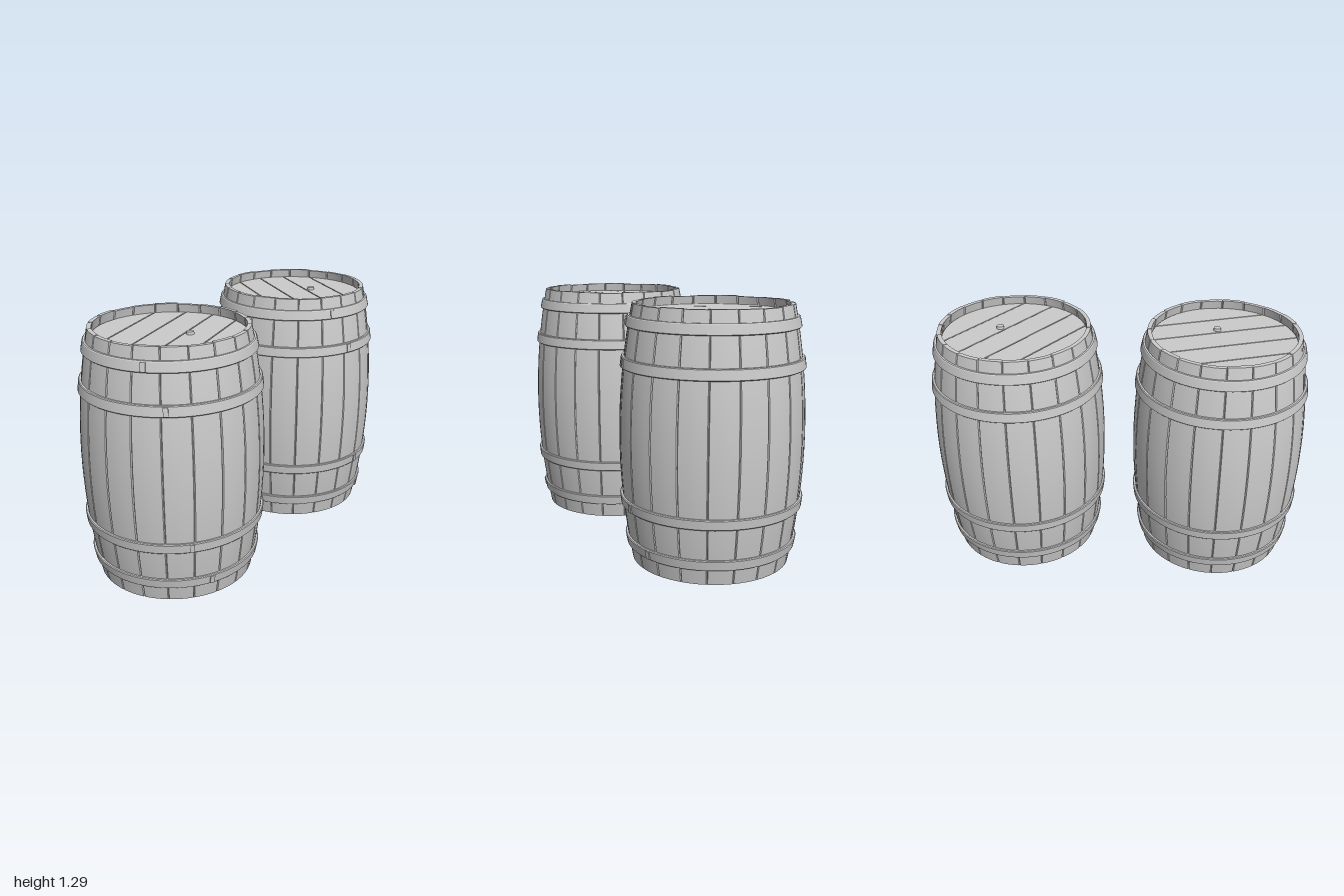
import * as THREE from 'three';
import { toCreasedNormals } from 'three/addons/utils/BufferGeometryUtils.js';

const HEIGHT = 1.29, STAVES = 20, WALL = 0.022, LID_Y = 1.245, LID_R = 0.375;
const mat = new THREE.MeshStandardMaterial({ color: 0xcccccc });

// Outer radius of the bulging wall at height y
const bulge = (y) => 0.46 - 0.065 * ((y - 0.64) / 0.645) ** 2;

function part(name, geometry, parent) {
  const mesh = new THREE.Mesh(geometry, mat);
  mesh.name = name;
  parent.add(mesh);
  return mesh;
}

// One curved stave: a chamfered cross-section swept from bottom to top
function staveGeometry() {
  const arc = (Math.PI * 2) / STAVES, rows = 18;
  const outer = [[-0.5, -0.006], [-0.47, 0], [-0.24, 0], [0, 0], [0.24, 0], [0.47, 0], [0.5, -0.006]];
  const inner = [[0.5, 0.006 - WALL], [0.46, -WALL], [0.24, -WALL], [0, -WALL],
    [-0.24, -WALL], [-0.46, -WALL], [-0.5, 0.006 - WALL]];
  const section = [...outer, ...inner], n = section.length;
  const pos = [], index = [];
  for (let j = 0; j <= rows; j++) {
    const y = (HEIGHT * j) / rows;
    for (const [f, off] of section) {
      const a = f * arc, r = bulge(y) + off;
      pos.push(r * Math.sin(a), y, r * Math.cos(a));
    }
  }
  for (let j = 0; j < rows; j++) {
    for (let i = 0; i < n; i++) {
      const a = j * n + i, b = j * n + ((i + 1) % n);
      index.push(a, b, b + n, a, b + n, a + n);
    }
  }
  // End grain, bottom and top
  const t = rows * n;
  for (let k = 0; k < outer.length - 1; k++) {
    const a = k, b = k + 1, c = n - 2 - k, d = n - 1 - k;
    index.push(t + a, t + b, t + c, t + a, t + c, t + d);
    index.push(a, c, b, a, d, c);
  }
  const g = new THREE.BufferGeometry();
  g.setAttribute('position', new THREE.Float32BufferAttribute(pos, 3));
  g.setIndex(index);
  return toCreasedNormals(g, 0.4);
}

// Metal hoop that follows the slope of the wall
function hoopGeometry(y0, y1) {
  const out = 0.013, e = 0.004;
  const profile = [
    [bulge(y0) - 0.004, y0], [bulge(y0) + out - e, y0], [bulge(y0) + out, y0 + e],
    [bulge(y1) + out, y1 - e], [bulge(y1) + out - e, y1], [bulge(y1) - 0.004, y1],
    [bulge(y0) - 0.004, y0],
  ].map(([r, y]) => new THREE.Vector2(r, y));
  return toCreasedNormals(new THREE.LatheGeometry(profile, 80), 0.4);
}

// Lid board: the slice of a disc lying between z0 and z1
function boardGeometry(z0, z1) {
  const pts = [], steps = 14;
  const a0 = Math.asin(Math.max(-1, z0 / LID_R)), a1 = Math.asin(Math.min(1, z1 / LID_R));
  for (const side of [1, -1]) {
    for (let i = 0; i <= steps; i++) {
      const s = side > 0 ? i / steps : 1 - i / steps;
      const a = a0 + (a1 - a0) * s;
      pts.push(new THREE.Vector2(side * LID_R * Math.cos(a), LID_R * Math.sin(a)));
    }
  }
  const g = new THREE.ExtrudeGeometry(new THREE.Shape(pts), { depth: 0.02, bevelEnabled: false });
  return g.rotateX(Math.PI / 2);
}

function createBarrel() {
  const barrel = new THREE.Group();

  // Wall
  const stave = staveGeometry();
  for (let i = 0; i < STAVES; i++) {
    const m = part('stave', stave, barrel);
    m.rotation.y = ((i + 0.5) / STAVES) * Math.PI * 2;
    m.scale.y = 1 - 0.0015 * ((i * 7) % 3);
  }

  // Hoops, each with a riveted joint at its own angle (degrees)
  for (const [y0, y1, deg] of [[0.08, 0.132, -42], [0.288, 0.34, -56], [0.98, 1.035, -69], [1.177, 1.23, -82]]) {
    part('hoop', hoopGeometry(y0, y1), barrel);
    const y = (y0 + y1) / 2, a = THREE.MathUtils.degToRad(deg);
    const joint = new THREE.Group();
    joint.name = 'hoopJoint';
    joint.position.set(Math.sin(a) * (bulge(y) + 0.013), y, Math.cos(a) * (bulge(y) + 0.013));
    joint.rotation.order = 'YXZ';
    joint.rotation.set(Math.atan((bulge(y1) - bulge(y0)) / (y1 - y0)), a, 0);
    part('jointPlate', new THREE.BoxGeometry(0.024, 0.042, 0.01), joint);
    barrel.add(joint);
  }

  // Lid of five boards with a backing disc closing the grooves
  const lid = new THREE.Group();
  lid.name = 'lid';
  lid.position.y = LID_Y;
  const edges = [-LID_R, -0.225, -0.075, 0.075, 0.225, LID_R], gap = 0.003;
  for (let i = 0; i < 5; i++) {
    part('lidBoard', boardGeometry(edges[i] + (i > 0 ? gap : 0), edges[i + 1] - (i < 4 ? gap : 0)), lid);
  }
  part('lidBacking', new THREE.CylinderGeometry(LID_R, LID_R, 0.012, 48), lid).position.y = -0.018;
  part('bung', new THREE.CylinderGeometry(0.018, 0.021, 0.02, 20), lid).position.set(0, 0.004, 0.106);
  barrel.add(lid);
  return barrel;
}

export function createModel() {
  const model = new THREE.Group();
  model.name = 'barrelPair';
  const right = createBarrel();
  const left = right.clone();
  for (const [barrel, name, x, z, deg] of [[right, 'rightBarrel', -0.54, 0.015, 19], [left, 'leftBarrel', 0.54, -0.025, 57]]) {
    barrel.name = name;
    barrel.position.set(x, 0, z);
    barrel.rotation.y = THREE.MathUtils.degToRad(deg);
    model.add(barrel);
  }
  return model;
}
